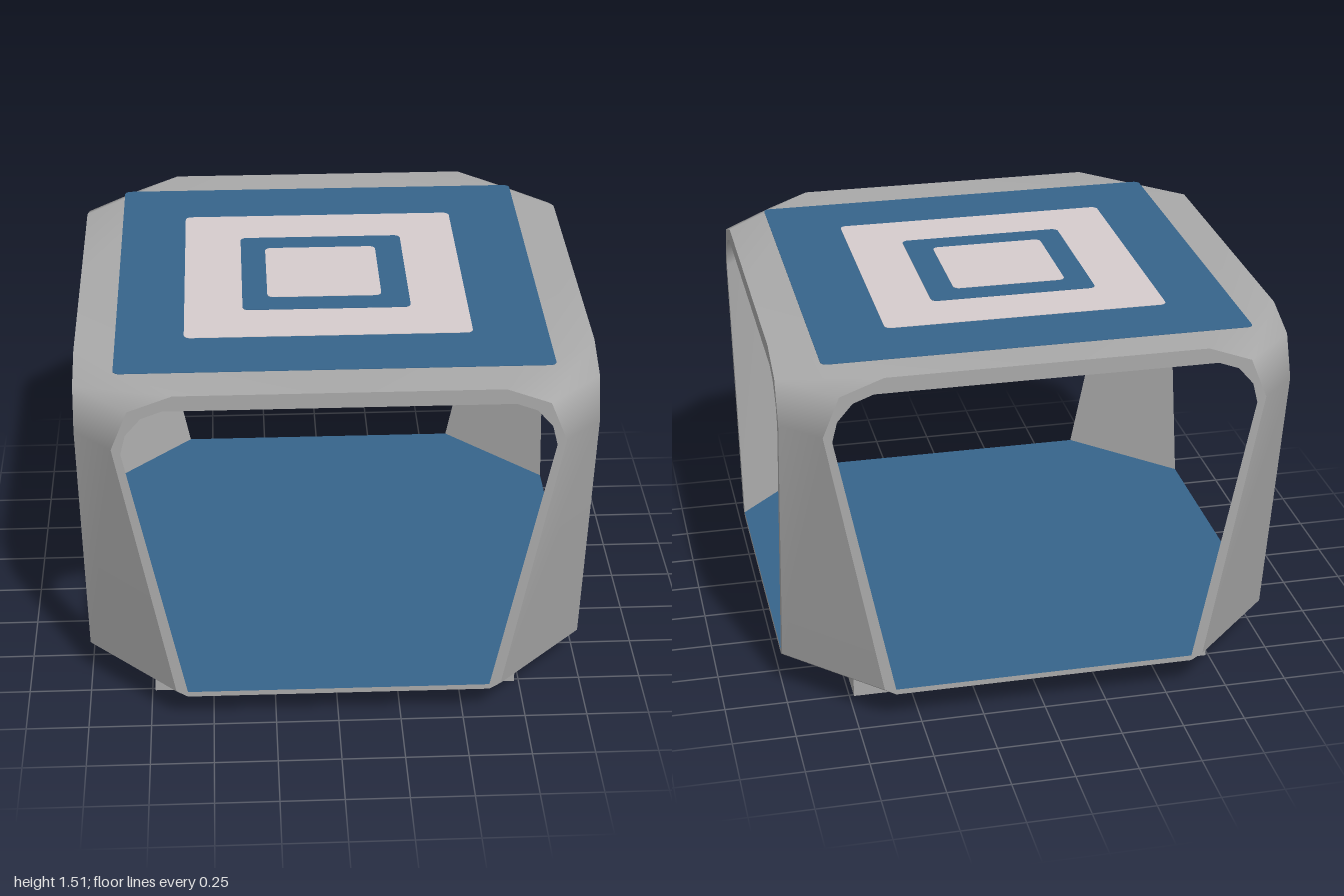
import * as THREE from 'three';

const grey = new THREE.MeshStandardMaterial({ color: 0xa9a9a9, side: THREE.DoubleSide });
grey.name = 'shell grey';
const blue = new THREE.MeshStandardMaterial({ color: 0x36648b });
blue.name = 'panel blue';
const pale = new THREE.MeshStandardMaterial({ color: 0xd6cccd });
pale.name = 'pale pink';

// Profiles are [s, y], where s = x + z is the reach along the corner diagonal.
const TOP = 1.503;
const outer = [[1.645, 0.165], [1.855, 1.28], [1.79, 1.44], [1.62, TOP], [1, TOP], [0, TOP]];
const inner = [[1.6, 0.16], [1.82, 1.26], [1.8, 1.34], [1.74, 1.41], [1.66, 1.44], [1, 1.44], [0, 1.44]];
const lip = [[1.6, 0.138], [1.645, 0.165]];
const floorTop = [[1.6, 0.16], [1, 0.16], [0, 0.16]];
const floorBottom = [[0, 0.138], [1, 0.138], [1.6, 0.138]];

// Sweeps a profile across one corner, staying inside the square |x|, |z| <= 1.
function cornerSurface(profile) {
  const pos = [], index = [];
  profile.forEach(([s, y], i) => {
    const a = Math.min(s, 1), b = Math.max(s - 1, 0);
    pos.push(a, y, b, b, y, a);
    if (i) {
      const k = 2 * i - 2;
      index.push(k + 1, k, k + 2, k + 1, k + 2, k + 3);
    }
  });
  const geo = new THREE.BufferGeometry();
  geo.setAttribute('position', new THREE.Float32BufferAttribute(pos, 3));
  geo.setIndex(index);
  geo.computeVertexNormals();
  return geo;
}

// Mirrored closed outline of a profile, as seen on one side of the frame.
function outline(profile) {
  const half = profile.filter(([s]) => s > 1).map(([s, y]) => new THREE.Vector2(s - 1, y));
  return [...half, ...half.map((p) => new THREE.Vector2(-p.x, p.y)).reverse()];
}

// Thin plate with rounded corners, lying flat.
function plateGeometry(w, d, r, thickness) {
  const x = w / 2, y = d / 2;
  const shape = new THREE.Shape();
  shape.absarc(x - r, y - r, r, 0, Math.PI / 2);
  shape.absarc(-x + r, y - r, r, Math.PI / 2, Math.PI);
  shape.absarc(-x + r, -y + r, r, Math.PI, Math.PI * 1.5);
  shape.absarc(x - r, -y + r, r, Math.PI * 1.5, Math.PI * 2);
  const geo = new THREE.ExtrudeGeometry(shape, { depth: thickness, bevelEnabled: false, curveSegments: 4 });
  return geo.rotateX(-Math.PI / 2);
}

export function createModel() {
  const model = new THREE.Group();
  model.name = 'openSidedStand';
  const add = (name, geo, mat, parent = model) => {
    const mesh = new THREE.Mesh(geo, mat);
    mesh.name = name;
    parent.add(mesh);
    return mesh;
  };

  // Four identical quarters: corner leg, roof, floor and side rim
  const rimShape = new THREE.Shape(outline([lip[0], ...outer]));
  rimShape.holes.push(new THREE.Path(outline(inner)));
  const parts = [
    ['legAndRoofOutside', cornerSurface(outer), grey],
    ['legAndRoofInside', cornerSurface([...inner].reverse()), grey],
    ['legLowerLip', cornerSurface(lip), grey],
    ['floorTop', cornerSurface(floorTop), blue],
    ['floorUnderside', cornerSurface(floorBottom), blue],
    ['sideRim', new THREE.ShapeGeometry(rimShape).translate(0, 0, 1), grey],
  ];
  for (let i = 0; i < 4; i++) {
    const quarter = new THREE.Group();
    quarter.name = 'quarter';
    quarter.rotation.y = (i * Math.PI) / 2;
    parts.forEach(([name, geo, mat]) => add(name, geo, mat, quarter));
    model.add(quarter);
  }

  // Nested square plates on the roof: [x0, x1, z0, z1]
  [
    [-0.845, 0.83, -0.84, 0.82],
    [-0.58, 0.54, -0.56, 0.545],
    [-0.35, 0.315, -0.34, 0.32],
    [-0.25, 0.205, -0.235, 0.215],
  ].forEach(([x0, x1, z0, z1], i) => {
    const geo = plateGeometry(x1 - x0, z1 - z0, 0.025, 0.0018 * (i + 1));
    const plate = add('roofSquare', geo, i % 2 ? pale : blue);
    plate.position.set((x0 + x1) / 2, TOP, (z0 + z1) / 2);
  });

  // Hollow square feet, open underneath
  const footGeo = new THREE.CylinderGeometry(0.12 * Math.SQRT2, 0.12 * Math.SQRT2, 0.138, 4, 1, true, Math.PI / 4).toNonIndexed();
  footGeo.computeVertexNormals();
  for (const x of [-0.618, 0.612]) {
    for (const z of [-0.64, 0.643]) {
      add('foot', footGeo, grey).position.set(x, 0.069, z);
    }
  }
  return model;
}
